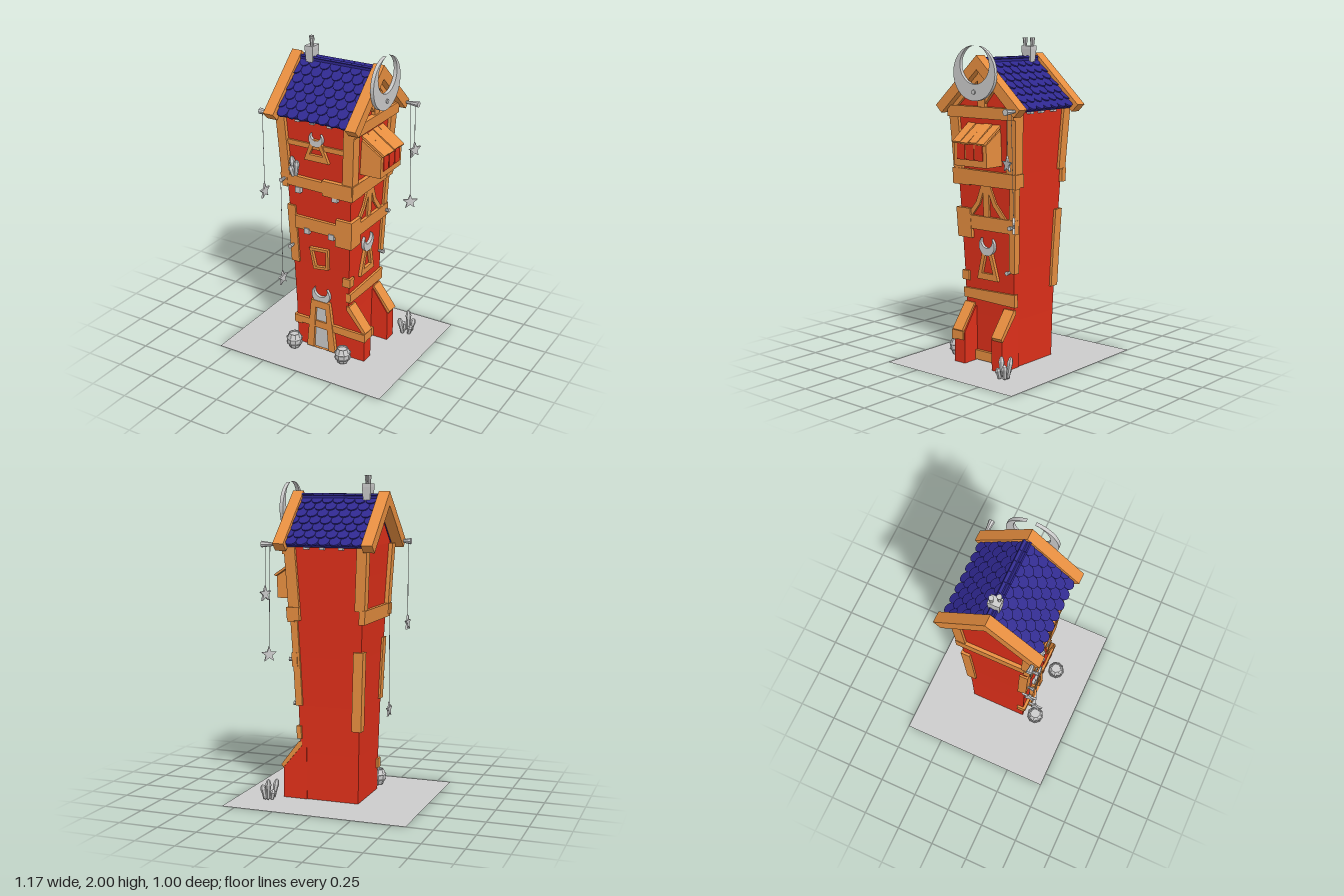
import * as THREE from 'three';

const mat = (color) => new THREE.MeshStandardMaterial({ color, flatShading: true, side: THREE.DoubleSide });
const RED = mat(0xe0301a), WOOD = mat(0xe88f40), BLUE = mat(0x2f2890), GREY = mat(0xcccccc);
const FRONT = 0, RIGHT = Math.PI / 2, LEFT = -Math.PI / 2;

// half width of the tower, which widens upwards
const w = (y) => 0.185 + 0.06 * Math.pow(Math.min(y, 1.58) / 1.58, 1.5);
const rect = (a, b, c, d) => [[a, b], [c, b], [c, d], [a, d]];
const shapeOf = (pts) => new THREE.Shape(pts.map((p) => new THREE.Vector2(p[0], p[1])));

export function createModel() {
  const model = new THREE.Group();
  const add = (name, geo, material, pos = [0, 0, 0], rot = [0, 0, 0], parent = model) => {
    const m = new THREE.Mesh(geo, material);
    m.name = name;
    m.position.set(...pos);
    m.rotation.set(...rot);
    parent.add(m);
    return m;
  };
  const extrude = (shape, depth) => new THREE.ExtrudeGeometry(shape, { depth, bevelEnabled: false, curveSegments: 10 });
  const box = (name, x0, x1, y0, y1, z0, z1, m) =>
    add(name, new THREE.BoxGeometry(x1 - x0, y1 - y0, z1 - z0), m, [(x0 + x1) / 2, (y0 + y1) / 2, (z0 + z1) / 2]);

  // rectangular cross-sections [y, x0, x1, z0, z1] joined from bottom to top
  const loft = (secs) => {
    const pos = [], idx = [];
    secs.forEach(([y, x0, x1, z0, z1], i) => {
      pos.push(x0, y, z1, x1, y, z1, x1, y, z0, x0, y, z0);
      for (let j = 0; j < 4 && i; j++) {
        const a = i * 4 - 4 + j, b = i * 4 - 4 + (j + 1) % 4;
        idx.push(a, b, a + 4, b, b + 4, a + 4);
      }
    });
    const t = secs.length * 4 - 4;
    idx.push(0, 2, 1, 0, 3, 2, t, t + 1, t + 2, t, t + 2, t + 3);
    const g = new THREE.BufferGeometry();
    g.setAttribute('position', new THREE.Float32BufferAttribute(pos, 3));
    g.setIndex(idx);
    const flat = g.toNonIndexed();
    flat.computeVertexNormals();
    return flat;
  };

  // flat piece laid on a wall; outline in (across, up) as seen facing that wall
  const panel = (name, face, pts, t = 0.02, m = WOOD, hole = null) => {
    const s = shapeOf(pts);
    if (hole) s.holes.push(shapeOf(hole));
    const g = extrude(s, 1), p = g.attributes.position;
    for (let i = 0; i < p.count; i++) p.setZ(i, w(p.getY(i)) + (p.getZ(i) > 0.5 ? t : -0.015));
    g.computeVertexNormals();
    return add(name, g, m, [0, 0, 0], [0, face, 0]);
  };
  const bar = (name, face, a, b, width, t = 0.02) => {
    const dx = b[0] - a[0], dy = b[1] - a[1], l = Math.hypot(dx, dy) * 2 / width, nx = -dy / l, ny = dx / l;
    return panel(name, face, [[a[0] - nx, a[1] - ny], [b[0] - nx, b[1] - ny], [b[0] + nx, b[1] + ny], [a[0] + nx, a[1] + ny]], t);
  };

  // crescent with horns up: outer radius R, inner radius r raised by d
  const crescent = (R, r, d, depth) => {
    const y = (R * R - r * r + d * d) / (2 * d), x = Math.sqrt(R * R - y * y);
    const s = new THREE.Shape(), a = Math.atan2(y, x), b = Math.atan2(y - d, x);
    s.absarc(0, 0, R, Math.PI - a, Math.PI * 2 + a, false);
    s.absarc(0, d, r, b, -Math.PI - b, true);
    return new THREE.ExtrudeGeometry(s, { depth, bevelEnabled: false, curveSegments: 24 });
  };

  // ground and tower
  add('ground', new THREE.PlaneGeometry(1.17, 1), GREY, [0, 0.002, 0], [-Math.PI / 2, 0, 0]);
  const secs = [0.005, 0.3, 0.6, 0.9, 1.2, 1.4, 1.58].map((y) => [y, -w(y), w(y), -w(y), w(y)]);
  add('towerWalls', loft([...secs, [1.82, -0.245, 0.245, -0.004, 0.004]]), RED);

  // sloped buttresses with wooden caps
  for (const z of [0.11, -0.192]) {
    const n = z > 0 ? 'frontButtress' : 'backButtress';
    add(n, extrude(shapeOf([[0.15, 0.005], [0.305, 0.005], [0.305, 0.2], [0.2, 0.35], [0.15, 0.35]]), 0.082), RED, [0, 0, z]);
    add(n + 'Cap', extrude(shapeOf([[0.18, 0.345], [0.305, 0.195], [0.318, 0.215], [0.2, 0.37], [0.18, 0.37]]), 0.08), WOOD, [0, 0, z + (z > 0 ? 0.01 : -0.006)]);
  }
  panel('plinthBoard', RIGHT, rect(-0.115, 0.01, 0.115, 0.07));
  box('buttressBand', 0.285, 0.317, 0.155, 0.21, 0.115, 0.207, WOOD);

  // corner posts: side x, side z, bottom, top, thickness inside and outside
  for (const [sx, sz, y0, y1, inn, out] of [
    [1, 1, 1.2, 1.58, 0.05, 0.02], [-1, 1, 1.2, 1.58, 0.035, 0.025], [1, -1, 1.2, 1.58, 0.05, 0.02], [-1, -1, 1.2, 1.58, 0.045, 0.018],
    [-1, 1, 0.6, 0.99, 0.045, 0.012], [1, 1, 0.785, 0.97, 0.09, 0.022], [1, -1, 0.6, 1.13, 0.03, 0.014], [-1, -1, 0.46, 0.95, 0.045, 0.016],
    [1, 1, 0.51, 0.57, 0.04, 0.014], [-1, 1, 0.15, 0.21, 0.04, 0.014], [1, 1, 1.115, 1.215, 0.1, 0.025], [1, -1, 1.13, 1.21, 0.05, 0.03],
  ]) {
    const s = (y) => {
      const i = w(y) - inn, o = w(y) + out;
      return [y, sx > 0 ? i : -o, sx > 0 ? o : -i, sz > 0 ? i : -o, sz > 0 ? o : -i];
    };
    add('cornerPost', loft([s(y0), s((y0 + y1) / 2), s(y1)]), WOOD);
  }

  // horizontal beams
  panel('frontUpperBeam', FRONT, [[-0.255, 1.135], [0.05, 1.13], [0.05, 1.2], [-0.255, 1.205]], 0.025);
  panel('frontUpperBeam', FRONT, rect(0.04, 1.115, 0.245, 1.215), 0.03);
  panel('frontMiddleBeam', FRONT, rect(-0.17, 0.845, 0.2, 0.93));
  panel('frontLowerBeam', FRONT, [[-0.195, 0.165], [0.315, 0.15], [0.315, 0.205], [-0.195, 0.21]]);
  panel('frontTopBeam', FRONT, rect(-0.2, 1.4, 0.2, 1.432), 0.012);
  panel('sideTopBeam', RIGHT, rect(-0.265, 1.53, 0.26, 1.6), 0.035);
  panel('sideUpperBeam', RIGHT, [[-0.25, 1.12], [0.25, 1.12], [0.25, 1.21], [-0.25, 1.215]], 0.027);
  panel('sideMiddleBeam', RIGHT, rect(-0.22, 0.845, 0.23, 0.93));
  panel('sideLowerBeam', RIGHT, [[-0.2, 0.4], [0.21, 0.39], [0.21, 0.47], [-0.2, 0.46]], 0.015);
  panel('leftUpperBeam', LEFT, rect(-0.245, 1.12, 0.25, 1.205), 0.022);

  // curved braces and gable timbers
  bar('braceKingPost', RIGHT, [0, 0.92], [0, 1.13], 0.045, 0.012);
  for (const s of [-1, 1]) {
    bar('brace', RIGHT, [s * 0.02, 1.12], [s * 0.07, 1.0], 0.03, 0.012);
    bar('brace', RIGHT, [s * 0.07, 1.005], [s * 0.15, 0.91], 0.03, 0.012);
    bar('gableBrace', RIGHT, [0, 1.61], [s * 0.1, 1.73], 0.03, 0.02);
    bar('gableRafter', RIGHT, [0, 1.81], [s * 0.25, 1.575], 0.04, 0.02);
  }
  bar('gableKingPost', RIGHT, [0, 1.58], [0, 1.82], 0.055, 0.025);

  // door, window and triangular vents
  panel('door', FRONT, [[-0.06, 0.01], [0.06, 0.01], [0.038, 0.32], [-0.038, 0.32]], 0.008, GREY);
  panel('doorFrame', FRONT, [[-0.105, 0.01], [0.105, 0.01], [0.065, 0.36], [-0.068, 0.36]], 0.025, WOOD, [[-0.055, 0.011], [0.055, 0.011], [0.036, 0.31], [-0.036, 0.31]]);
  panel('windowFrame', FRONT, [[-0.045, 0.585], [0.06, 0.6], [0.062, 0.74], [-0.072, 0.73]], 0.022, WOOD, [[-0.03, 0.605], [0.043, 0.615], [0.045, 0.72], [-0.052, 0.712]]);
  for (const [face, y, h, b] of [[FRONT, 1.325, 0.14, 0.085], [RIGHT, 0.535, 0.2, 0.083]])
    panel('ventFrame', face, [[-b, y], [b, y], [0.03, y + h], [-0.03, y + h]], 0.02, WOOD, [[-b * 0.55, y + 0.04], [b * 0.55, y + 0.04], [0.008, y + h - 0.02], [-0.008, y + h - 0.02]]);

  // crescent ornaments
  const bigMoon = crescent(0.163, 0.114, 0.05, 0.022);
  add('gableCrescent', bigMoon, GREY, [0.31, 1.8, 0], [0, RIGHT, 0]).rotateZ(-0.08);
  add('crescentStud', new THREE.CylinderGeometry(0.014, 0.014, 0.03, 8), GREY, [0.325, 1.69, 0], [0, 0, RIGHT]);
  add('doorCrescent', crescent(0.065, 0.047, 0.032, 0.02), GREY, [0, 0.405, w(0.4)]);
  add('frontCrescent', crescent(0.048, 0.035, 0.024, 0.02), GREY, [0, 1.47, w(1.47)]);
  add('sideCrescent', crescent(0.062, 0.045, 0.03, 0.02), GREY, [w(0.75), 0.75, 0], [0, RIGHT, 0]);

  // bay window with planked awning
  const bay = extrude(shapeOf([[0.2, 1.25], [0.365, 1.25], [0.37, 1.385], [0.22, 1.48]]), 0.254);
  add('bayWindow', bay, WOOD, [0, 0, -0.127]);
  for (let i = -1; i <= 1; i++) box('bayPane', 0.362, 0.373, 1.29, 1.385, i * 0.07 - 0.03, i * 0.07 + 0.03, RED);
  for (let i = 0; i < 4; i++)
    add('awningPlank', new THREE.BoxGeometry(0.185, 0.014, 0.06), WOOD, [0.308, 1.44 + (i % 2) * 0.004, -0.0965 + i * 0.0645], [0, 0.03 * (i % 2 ? 1 : -1), -0.6]);

  // roof: slab and staggered scalloped tiles on both slopes
  const tile = new THREE.Shape();
  tile.moveTo(-0.034, 0.06);
  tile.lineTo(-0.034, 0);
  tile.absarc(0, 0, 0.034, Math.PI, Math.PI * 2, false);
  tile.lineTo(0.034, 0.06);
  const tileGeo = new THREE.ExtrudeGeometry(tile, { depth: 0.012, bevelEnabled: false, curveSegments: 8 });
  for (const side of [0, Math.PI]) {
    const half = new THREE.Group(), slope = new THREE.Group();
    half.name = side ? 'backRoof' : 'frontRoof';
    half.rotation.y = side;
    slope.position.y = 1.865;
    slope.rotation.x = -0.811;
    half.add(slope);
    model.add(half);
    add('roofSlab', new THREE.BoxGeometry(0.52, 0.39, 0.02), BLUE, [0, -0.2, -0.014], [0, 0, 0], slope);
    for (let r = 0; r < 7; r++) {
      const odd = r % 2;
      for (let c = 0; c < 7 + odd; c++)
        add('roofTile', tileGeo, BLUE, [(c - 3 - odd * 0.5) * 0.07, -0.03 - r * 0.058, 0], [-0.12, 0, 0], slope);
    }
    // eave brackets
    for (const x of [-0.12, -0.02, 0.1]) add('eaveBracket', new THREE.BoxGeometry(0.03, 0.025, 0.03), GREY, [x, 1.575, 0.255], [0, 0, 0], half);
  }
  add('ridgeCap', new THREE.BoxGeometry(0.5, 0.02, 0.04), BLUE, [0, 1.868, 0]);
  const barge = [[0, 1.905], [-0.33, 1.597], [-0.285, 1.552], [0, 1.82], [0.285, 1.552], [0.33, 1.597]];
  for (const x of [0.24, -0.318]) add('bargeBoard', extrude(shapeOf(barge), 0.07), WOOD, [x, 0, 0], [0, RIGHT, 0]);

  // chimney with two pots
  add('chimney', loft([[1.83, -0.2, -0.16, -0.03, 0.03], [1.93, -0.208, -0.152, -0.038, 0.036], [1.95, -0.208, -0.152, -0.038, 0.036]]), GREY);
  for (const [x, z] of [[-0.192, -0.019], [-0.167, 0.018]])
    add('chimneyPot', new THREE.CylinderGeometry(0.016, 0.01, 0.055, 8), GREY, [x, 1.9725, z]);

  // studs, pegs and small brackets
  const peg = (name, pos, rot, len = 0.05, r = 0.014) =>
    add(name, new THREE.CylinderGeometry(r, r * 0.45, len, 8), GREY, pos, rot);
  for (const [x, y, z] of [[-0.225, 1.175, 0.27], [-0.192, 0.72, 0.235]]) peg('frontPeg', [x, y, z], [Math.PI / 2, 0, 0]);
  for (const [x, y, z] of [[0.23, 0.885, -0.205], [0.215, 0.605, -0.172]]) peg('sidePeg', [x, y, z], [0, 0, -RIGHT]);
  peg('eaveHorn', [-0.337, 1.59, 0.287], [0, 0, RIGHT], 0.06, 0.02);
  peg('eaveHorn', [0.352, 1.59, -0.293], [0, 0, -RIGHT], 0.085, 0.02);
  for (const [x, y] of [[-0.137, 1.105], [0.122, 1.1], [-0.085, 0.835], [0.09, 0.835]])
    box('beamBracket', x - 0.018, x + 0.018, y - 0.012, y + 0.025, w(y) - 0.01, w(y) + 0.028, GREY);

  // hanging strings with stars: top point, then stars below it
  const starPts = Array.from({ length: 10 }, (_, i) => {
    const r = i % 2 ? 0.021 : 0.05, a = Math.PI / 2 + i * Math.PI / 5;
    return [r * Math.cos(a), r * Math.sin(a)];
  });
  const starGeo = extrude(shapeOf(starPts), 0.012).translate(0, 0, -0.006);
  const hang = (a, b, turn) => {
    const path = new THREE.LineCurve3(new THREE.Vector3(...a), new THREE.Vector3(...b));
    add('string', new THREE.TubeGeometry(path, 1, 0.002, 4), GREY);
    add('hangingStar', starGeo, GREY, b, [0, turn, 0]);
  };
  hang([0.37, 1.59, -0.293], [0.375, 1.29, -0.293], 1.25);
  hang([0.34, 1.59, -0.293], [0.343, 0.925, -0.315], 0.7);
  hang([-0.348, 1.59, 0.29], [-0.348, 1.075, 0.29], RIGHT);
  hang([-0.228, 1.175, 0.29], [-0.228, 0.505, 0.29], RIGHT);

  // barrels by the door
  const profile = [[0, 0], [0.032, 0], [0.048, 0.035], [0.05, 0.065], [0.036, 0.1], [0.03, 0.1], [0.03, 0.09], [0, 0.09]];
  const barrel = new THREE.LatheGeometry(profile.map((p) => new THREE.Vector2(...p)), 9);
  for (const x of [-0.163, 0.195]) {
    add('barrel', barrel, GREY, [x, 0.012, 0.27]);
    for (const y of [0.045, 0.08]) add('barrelHoop', new THREE.TorusGeometry(0.05, 0.004, 4, 9), GREY, [x, y, 0.27], [Math.PI / 2, 0, 0]);
  }

  // leafy clumps on the ground and on the front beam
  const leaf = new THREE.LatheGeometry([[0, 0], [0.012, 0.01], [0.015, 0.06], [0.019, 0.09], [0.012, 0.115], [0, 0.125]].map((p) => new THREE.Vector2(...p)), 6);
  const clump = (name, x, y, z, leaves) => leaves.forEach(([dx, dz, s, tilt]) =>
    add(name, leaf, GREY, [x + dx, y, z + dz], [dz * 5, 0, tilt]).scale.set(1, s, 1));
  clump('groundPlant', 0.37, 0.003, -0.265, [[0, -0.025, 1.15, 0.08], [-0.012, 0.03, 1, 0.15], [0.022, 0.015, 0.6, -0.25], [-0.018, -0.01, 0.55, 0.2], [0.02, -0.02, 0.8, -0.15]]);
  clump('beamPlant', -0.145, 1.21, 0.258, [[-0.01, 0, 1, 0.1], [0.012, 0.01, 0.9, -0.1], [0.002, 0.02, 0.6, 0.25]]);

  return model;
}
